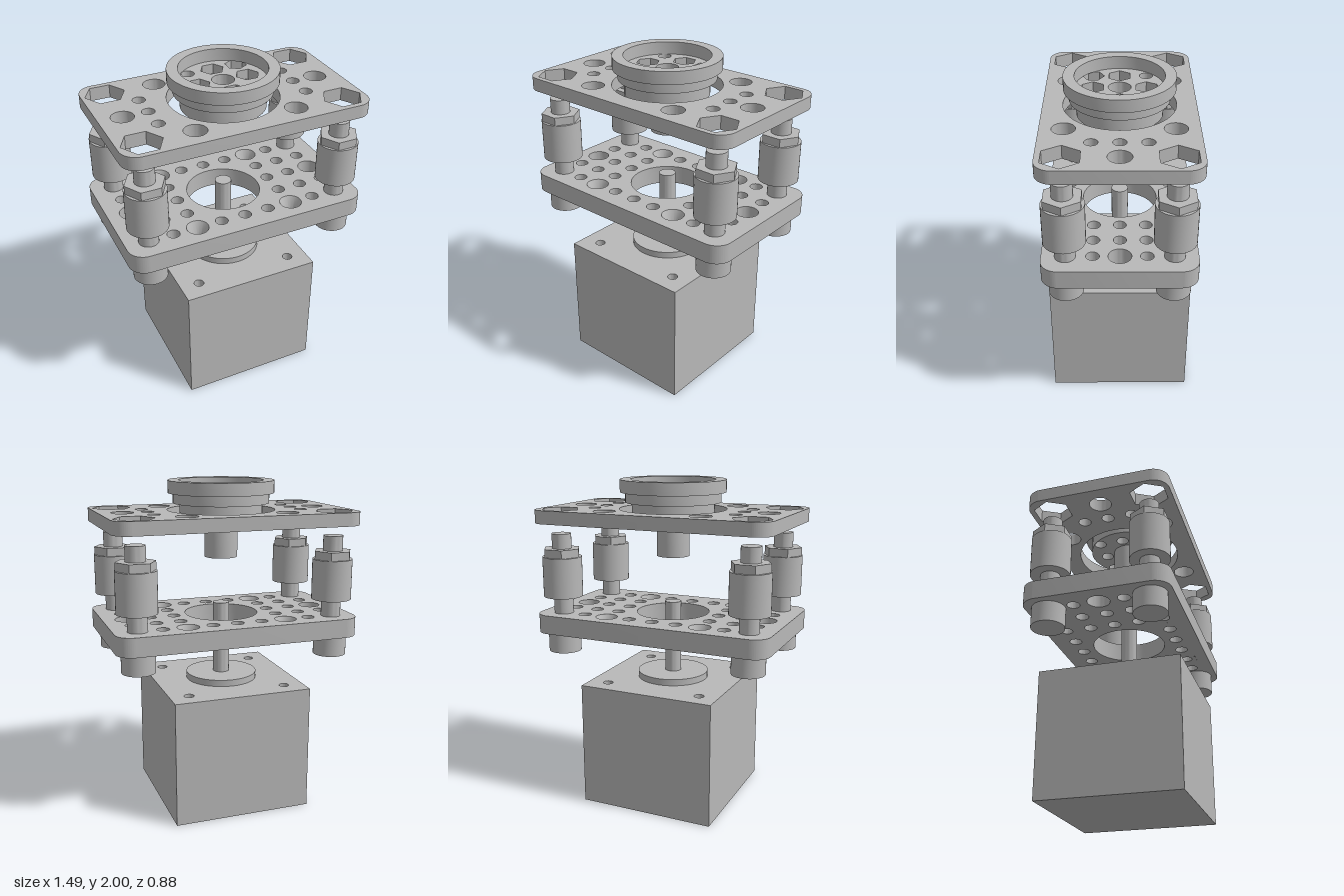
import * as THREE from 'three';
import { toCreasedNormals } from 'three/addons/utils/BufferGeometryUtils.js';

const PLATE_X = 0.745, PLATE_Z = 0.44, CORNER = 0.1;
const PITCH = 0.305, HALF = 0.152, POST_X = 0.605, ROW_X = 0.455;

export function createModel() {
  const model = new THREE.Group();
  const steel = new THREE.MeshStandardMaterial({ color: 0xb8b8b8 });
  steel.name = 'grey metal';

  function add(geometry, name, parent = model) {
    const mesh = new THREE.Mesh(toCreasedNormals(geometry, 0.5), steel);
    mesh.name = name;
    parent.add(mesh);
    return mesh;
  }

  // Outlines are drawn in x and z, then raised between two heights
  const circle = (r, x = 0, z = 0, Kind = THREE.Path) => {
    const p = new Kind();
    p.absarc(x, -z, r, 0, Math.PI * 2, false);
    return p;
  };
  const hexagon = (r, x = 0, z = 0, turn = 0, Kind = THREE.Path) => {
    const points = [];
    for (let i = 0; i < 6; i++) {
      const a = turn + i * Math.PI / 3;
      points.push(new THREE.Vector2(x + r * Math.cos(a), -z + r * Math.sin(a)));
    }
    return new Kind(points);
  };
  const rectangle = (hx, hz, r) => {
    const s = new THREE.Shape();
    if (!r) {
      s.moveTo(-hx, -hz).lineTo(hx, -hz).lineTo(hx, hz).lineTo(-hx, hz).closePath();
      return s;
    }
    s.absarc(hx - r, hz - r, r, 0, Math.PI / 2);
    s.absarc(-hx + r, hz - r, r, Math.PI / 2, Math.PI);
    s.absarc(-hx + r, -hz + r, r, Math.PI, Math.PI * 1.5);
    s.absarc(hx - r, -hz + r, r, Math.PI * 1.5, Math.PI * 2);
    s.closePath();
    return s;
  };
  function slab(shape, holes, y0, y1, name, parent) {
    shape.holes = holes;
    const g = new THREE.ExtrudeGeometry(shape, { depth: y1 - y0, bevelEnabled: false, curveSegments: 24 });
    g.rotateX(-Math.PI / 2).translate(0, y0, 0);
    return add(g, name, parent);
  }
  const lathe = (pairs, name, parent) =>
    add(new THREE.LatheGeometry(pairs.map(p => new THREE.Vector2(...p)), 40), name, parent);
  function rod(r, y0, y1, name, parent) {
    return add(new THREE.CylinderGeometry(r, r, y1 - y0, 40).translate(0, (y0 + y1) / 2, 0), name, parent);
  }
  // The four mirrored positions of a point
  const four = (x, z) => [[x, z], [-x, z], [x, -z], [-x, -z]];

  // Motor: block with screw holes, pilot boss and shaft
  const motor = new THREE.Group();
  motor.name = 'motor';
  model.add(motor);
  add(new THREE.BoxGeometry(0.85, 0.65, 0.85).translate(0, 0.325, 0), 'motorBody', motor);
  slab(rectangle(0.425, 0.425), four(PITCH, PITCH).map(p => circle(0.03, ...p)), 0.65, 0.77, 'motorFace', motor);
  rod(0.22, 0.77, 0.81, 'pilotBoss', motor);
  rod(0.05, 0.81, 1.255, 'motorShaft', motor);

  // Holes shared by both plates
  const sharedHoles = () => {
    const holes = [];
    for (const s of [-1, 1]) {
      holes.push(circle(0.066, s * POST_X, 0));
      for (const z of [-HALF, 0, HALF]) holes.push(circle(0.038, s * ROW_X, z));
    }
    for (const p of four(PITCH, PITCH)) holes.push(circle(0.066, ...p));
    return holes;
  };

  // Lower plate with its grid of holes and countersinks
  const lowerHoles = [circle(0.225), ...sharedHoles()];
  for (const p of [...four(ROW_X, PITCH), ...four(PITCH, HALF), ...four(HALF, PITCH), ...four(POST_X, HALF),
    [0, PITCH], [0, -PITCH], [PITCH, 0], [-PITCH, 0]]) lowerHoles.push(circle(0.038, ...p));
  slab(rectangle(PLATE_X, PLATE_Z, CORNER), lowerHoles, 1.075, 1.19, 'lowerPlate');
  for (const [x, z] of four(PITCH, PITCH)) {
    lathe([[0.066, 1.19], [0.035, 1.125], [0.035, 1.075], [0.066, 1.075]], 'countersink').position.set(x, 0, z);
  }

  // Upper plate with a large bore and hexagonal corner openings
  const upperHoles = [circle(0.325), ...sharedHoles()];
  for (const p of four(POST_X, PITCH)) upperHoles.push(hexagon(0.118, ...p));
  slab(rectangle(PLATE_X, PLATE_Z, CORNER), upperHoles, 1.745, 1.825, 'upperPlate');

  // Corner posts: bolt head, stud, spacer and nut
  for (const [x, z] of four(POST_X, PITCH)) {
    const post = new THREE.Group();
    post.name = 'cornerPost';
    post.position.set(x, 0, z);
    model.add(post);
    rod(0.1, 0.95, 1.075, 'boltHead', post);
    rod(0.059, 1.075, 1.295, 'lowerStud', post);
    rod(0.12, 1.295, 1.54, 'spacer', post);
    slab(hexagon(0.118, 0, 0, 0, THREE.Shape), [], 1.54, 1.59, 'hexNut', post);
    rod(0.059, 1.59, 1.68, 'studTip', post);
  }

  // Stepped hub: bored sleeve, drilled disc, hex pocket disc and rim
  const hub = new THREE.Group();
  hub.name = 'hub';
  model.add(hub);
  const cross = [[HALF, 0], [-HALF, 0], [0, HALF], [0, -HALF]];
  const round = [[-HALF, -HALF], [HALF, HALF]];
  const turned = [[HALF, -HALF], [-HALF, HALF]];
  const disc = r => circle(r, 0, 0, THREE.Shape);
  slab(disc(0.1), [circle(0.065)], 1.54, 1.77, 'hubSleeve', hub);
  slab(disc(0.25), [circle(0.065), ...[...cross, ...round, ...turned].map(p => circle(0.038, ...p))],
    1.77, 1.865, 'drilledDisc', hub);
  slab(disc(0.29), [circle(0.065), ...round.map(p => circle(0.038, ...p)),
    ...cross.map(p => hexagon(0.07, ...p)), ...turned.map(p => hexagon(0.064, ...p, 0.5))],
    1.865, 1.925, 'pocketDisc', hub);
  slab(disc(0.32), [circle(0.255)], 1.925, 2, 'hubRim', hub);

  return model;
}
